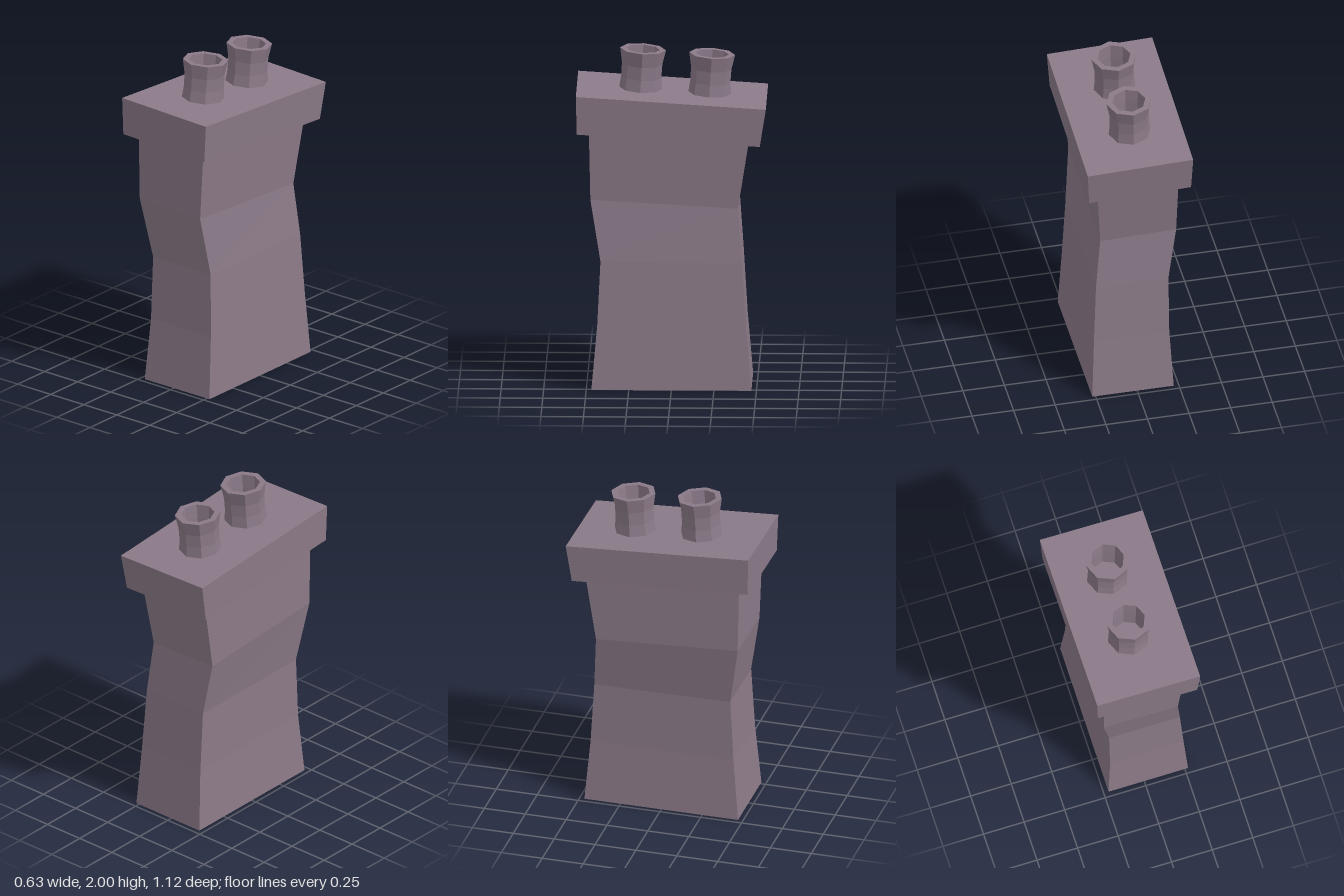
import * as THREE from 'three';

const stone = new THREE.MeshStandardMaterial({ color: 0x8b7a88, side: THREE.DoubleSide, flatShading: true });
stone.name = 'dusky stone';

// Height added by the sideways and backward lean of the top
const SLOPE_X = -0.03, SLOPE_Z = 0.064;

// Rectangular cross-sections [y, left x, right x, back z, front z, lean 0..1] joined by four walls
function loft(sections, capped) {
  const pos = [], idx = [];
  for (const [y, x0, x1, z0, z1, lean] of sections) {
    for (const [x, z] of [[x0, z1], [x1, z1], [x1, z0], [x0, z0]]) {
      pos.push(x, y + lean * (SLOPE_X * x + SLOPE_Z * z), z);
    }
  }
  for (let s = 0; s < sections.length - 1; s++) {
    for (let i = 0; i < 4; i++) {
      const a = s * 4 + i, b = s * 4 + (i + 1) % 4;
      idx.push(a, b, b + 4, a, b + 4, a + 4);
    }
  }
  if (capped) {
    const t = (sections.length - 1) * 4;
    idx.push(0, 2, 1, 0, 3, 2, t, t + 1, t + 2, t, t + 2, t + 3);
  }
  const g = new THREE.BufferGeometry();
  g.setAttribute('position', new THREE.Float32BufferAttribute(pos, 3));
  g.setIndex(idx);
  const flat = g.toNonIndexed();
  flat.computeVertexNormals();
  return flat;
}

export function createModel() {
  const group = new THREE.Group();
  const add = (name, geometry) => {
    const mesh = new THREE.Mesh(geometry, stone);
    mesh.name = name;
    group.add(mesh);
    return mesh;
  };

  // Crooked hollow stack, open at the bottom
  add('chimneyStack', loft([
    [0, -0.22, 0.27, -0.47, 0.47, 0],
    [0.38, -0.2, 0.253, -0.438, 0.436, 0],
    [0.763, -0.2, 0.236, -0.415, 0.417, 0.1],
    [1.108, -0.252, 0.205, -0.39, 0.477, 0.9],
    [1.517, -0.253, 0.235, -0.453, 0.485, 1],
  ], false));

  // Leaning slab on top
  add('chimneyCap', loft([
    [1.515, -0.313, 0.3, -0.52, 0.555, 1],
    [1.745, -0.318, 0.316, -0.556, 0.56, 1],
  ], true));

  // Two eight-sided hollow pots, square to the leaning slab
  const profile = [
    [0.127, -0.015], [0.118, 0.07], [0.119, 0.15], [0.135, 0.237],
    [0.099, 0.237], [0.094, 0.15], [0.094, -0.01],
  ].map(([r, y]) => new THREE.Vector2(r, y));
  const axis = new THREE.Vector3(-SLOPE_X, 1, -SLOPE_Z).normalize();
  for (const [name, z] of [['frontPot', 0.187], ['backPot', -0.219]]) {
    const pot = add(name, new THREE.LatheGeometry(profile, 8));
    pot.position.set(-0.009, 1.745 + SLOPE_Z * z, z);
    pot.quaternion.setFromUnitVectors(new THREE.Vector3(0, 1, 0), axis);
  }

  return group;
}
